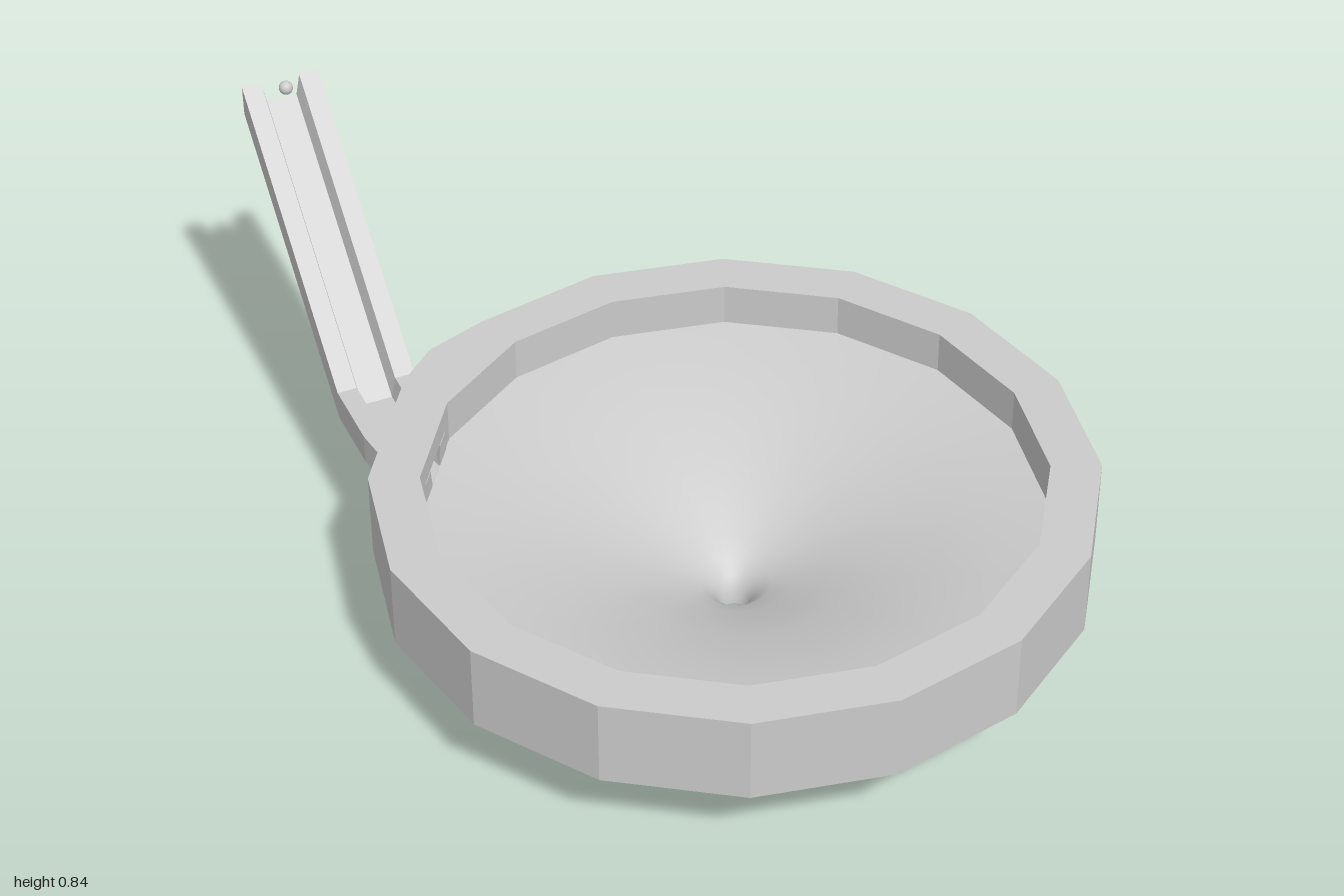
import * as THREE from 'three';

const CZ = 0.22;      // z of the bowl's axis
const SIDES = 16;
const flat = new THREE.MeshStandardMaterial({ color: 0xcccccc, flatShading: true, side: THREE.DoubleSide });
const smooth = new THREE.MeshStandardMaterial({ color: 0xcccccc, side: THREE.DoubleSide });

function add(parent, name, geometry, material) {
  const mesh = new THREE.Mesh(geometry, material);
  mesh.name = name;
  parent.add(mesh);
  return mesh;
}

// Corners of a regular ring, starting at +x and turning toward -z
function ringPoints(radius) {
  return Array.from({ length: SIDES }, (_, i) => {
    const a = (i / SIDES) * Math.PI * 2;
    return new THREE.Vector2(radius * Math.cos(a), CZ - radius * Math.sin(a));
  });
}

function rectangle(Type, x0, x1, y0, y1) {
  const shape = new Type();
  shape.moveTo(x0, y0).lineTo(x1, y0).lineTo(x1, y1).lineTo(x0, y1).closePath();
  return shape;
}

// Upright wall panel between two plan points, with an optional opening
function panel(p, q, y0, y1, opening) {
  const length = p.distanceTo(q);
  const shape = rectangle(THREE.Shape, 0, length, y0, y1);
  if (opening) {
    const [t0, t1, b, t] = opening;
    shape.holes.push(rectangle(THREE.Path, t0 * length, t1 * length, b, t));
  }
  const along = new THREE.Vector3(q.x - p.x, 0, q.y - p.y).normalize();
  const up = new THREE.Vector3(0, 1, 0);
  const basis = new THREE.Matrix4().makeBasis(along, up, along.clone().cross(up));
  basis.setPosition(p.x, 0, p.y);
  return new THREE.ShapeGeometry(shape).applyMatrix4(basis);
}

// Joins a U-shaped section along stations of { centre, turn }
function channelGeometry(section, stations) {
  const n = section.length;
  const positions = [];
  const index = [];
  for (const { at: [x, y, z], turn } of stations) {
    for (const [u, v] of section) {
      positions.push(x + u * Math.cos(turn), y + v, z - u * Math.sin(turn));
    }
  }
  for (let s = 0; s < stations.length - 1; s++) {
    for (let i = 0; i < n; i++) {
      const a = s * n + i, b = s * n + (i + 1) % n;
      index.push(a, a + n, b, b, a + n, b + n);
    }
  }
  const caps = THREE.ShapeUtils.triangulateShape(section.map(([u, v]) => new THREE.Vector2(u, v)), []);
  const last = (stations.length - 1) * n;
  for (const [a, b, c] of caps) index.push(a, c, b, last + a, last + b, last + c);
  const geometry = new THREE.BufferGeometry();
  geometry.setAttribute('position', new THREE.Float32BufferAttribute(positions, 3));
  geometry.setIndex(index);
  const result = geometry.toNonIndexed();
  result.computeVertexNormals();
  return result;
}

export function createModel() {
  const model = new THREE.Group();
  model.name = 'funnelWithRamp';

  // Rim: hollow below, bulging slightly where the ramp comes in
  const rim = new THREE.Group();
  rim.name = 'rim';
  model.add(rim);
  const outer = ringPoints(0.78);
  outer.splice(6, 1, new THREE.Vector2(-0.44, -0.45), new THREE.Vector2(-0.53, -0.37));
  const inner = ringPoints(0.67);

  const top = new THREE.Shape(outer);
  top.holes.push(new THREE.Path(inner));
  add(rim, 'rimTop', new THREE.ShapeGeometry(top).rotateX(Math.PI / 2).translate(0, 0.395, 0), flat);

  outer.forEach((p, i) => {
    const q = outer[(i + 1) % outer.length];
    add(rim, 'outerWall', panel(p, q, 0.195, 0.395, i === 7 && [0.03, 0.45, 0.293, 0.345]), flat);
  });
  inner.forEach((p, i) => {
    const q = inner[(i + 1) % inner.length];
    add(rim, 'innerWall', panel(p, q, 0.295, 0.395, i === 6 && [0.3, 0.7, 0.297, 0.345]), flat);
  });

  // Funnel: flared bowl narrowing to an open spout
  const profile = [
    [0.03, 0], [0.033, 0.03], [0.05, 0.062], [0.08, 0.088], [0.13, 0.115],
    [0.2, 0.15], [0.3, 0.196], [0.45, 0.247], [0.57, 0.277], [0.67, 0.296],
  ].map(([r, y]) => new THREE.Vector2(r, y));
  add(model, 'funnel', new THREE.LatheGeometry(profile, SIDES * 2), smooth).position.z = CZ;
  // Pull the edge onto the many-sided inner wall
  const funnel = model.getObjectByName('funnel').geometry.attributes.position;
  const step = (Math.PI * 2) / SIDES;
  for (let i = 0; i < funnel.count; i++) {
    const x = funnel.getX(i), z = funnel.getZ(i);
    const a = Math.atan2(z, x) + Math.PI * 2;
    const k = Math.cos(step / 2) / Math.cos((a % step) - step / 2);
    funnel.setXYZ(i, x * k, funnel.getY(i), z * k);
  }

  // Ramp: grooved track descending, levelling out and turning into the bowl
  const section = [
    [-0.09, 0], [-0.045, 0], [-0.035, -0.05], [0.035, -0.05],
    [0.045, 0], [0.09, 0], [0.09, -0.07], [-0.09, -0.07],
  ];
  const stations = [
    { at: [-0.57, 0.82, -1], turn: 0 },
    { at: [-0.57, 0.343, -0.45], turn: 0 },
    { at: [-0.57, 0.343, -0.28], turn: 0 },
    { at: [-0.565, 0.343, -0.2], turn: 0.49 },
    { at: [-0.545, 0.343, -0.145], turn: 0.98 },
  ];
  add(model, 'ramp', channelGeometry(section, stations), flat);

  // Ball waiting at the top of the ramp
  add(model, 'ball', new THREE.SphereGeometry(0.016, 16, 12), smooth).position.set(-0.57, 0.82, -0.96);

  return model;
}
